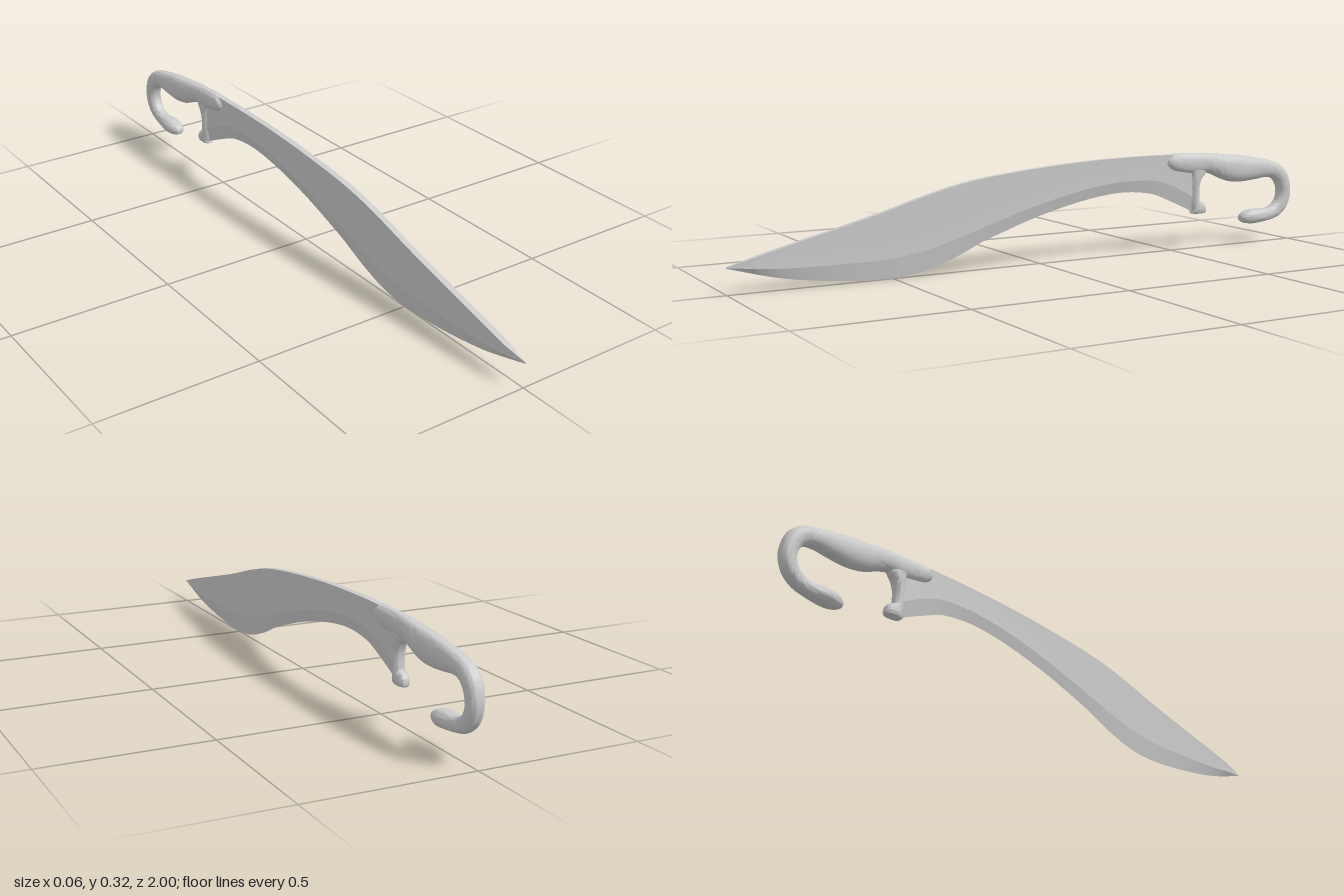
import * as THREE from 'three';
import { toCreasedNormals } from 'three/addons/utils/BufferGeometryUtils.js';

const material = new THREE.MeshStandardMaterial({ color: 0xcccccc });

// Smoothly resample rows of four numbers
function resample(rows, n) {
  const a = new THREE.CatmullRomCurve3(rows.map(r => new THREE.Vector3(r[0], r[1], 0)), false, 'centripetal');
  const b = new THREE.CatmullRomCurve3(rows.map((r, i) => new THREE.Vector3(r[2], r[3], i * 0.05)), false, 'centripetal');
  return Array.from({ length: n + 1 }, (_, i) => {
    const p = a.getPoint(i / n), q = b.getPoint(i / n), t = a.getTangent(i / n);
    return { z: p.x, y: p.y, h: q.x, w: q.y, tz: t.x, ty: t.y };
  });
}

// Join closed rings of points into a capped skin
function loft(name, rings, crease) {
  const m = rings[0].length, pos = [], idx = [];
  rings.forEach(r => r.forEach(p => pos.push(...p)));
  for (let i = 0; i < rings.length - 1; i++) {
    for (let j = 0; j < m; j++) {
      const k = (j + 1) % m;
      const a = i * m + j, b = i * m + k, c = b + m, d = a + m;
      idx.push(a, b, c, a, c, d);
    }
  }
  const last = (rings.length - 1) * m;
  for (let j = 1; j < m - 1; j++) {
    idx.push(0, j + 1, j, last, last + j, last + j + 1);
  }
  const geo = new THREE.BufferGeometry();
  geo.setAttribute('position', new THREE.Float32BufferAttribute(pos, 3));
  geo.setIndex(idx);
  const mesh = new THREE.Mesh(toCreasedNormals(geo, crease), material);
  mesh.name = name;
  return mesh;
}

// Rounded sections swept along a path in the side plane: rows of [z, y, half depth, half width]
function sweep(name, rows, n, power) {
  const sides = 24;
  const soft = v => Math.sign(v) * Math.abs(v) ** (2 / power);
  const rings = resample(rows, n).map(s => Array.from({ length: sides }, (_, j) => {
    const a = (j / sides) * Math.PI * 2;
    const u = soft(Math.cos(a)) * s.h, v = soft(Math.sin(a)) * s.w;
    return [v, s.y - s.tz * u, s.z + s.ty * u];
  }));
  return loft(name, rings, 0.9);
}

// Grip section from its top and bottom heights
const grip = (z, top, bottom, w) => [z, (top + bottom) / 2, (top - bottom) / 2, w];

export function createModel() {
  const group = new THREE.Group();
  group.name = 'curvedSword';

  // Blade: [z, spine height, bevel height, edge height], tip to guard
  const blade = [
    [1.0, 0.08, 0.078, 0.076], [0.84, 0.122, 0.063, 0.034], [0.68, 0.162, 0.06, 0.011],
    [0.52, 0.203, 0.061, 0.001], [0.41, 0.235, 0.075, 0.011], [0.3, 0.263, 0.102, 0.044],
    [0.2, 0.281, 0.133, 0.087], [0, 0.302, 0.19, 0.152], [-0.18, 0.314, 0.228, 0.192],
    [-0.31, 0.318, 0.241, 0.205], [-0.42, 0.319, 0.238, 0.194], [-0.5, 0.318, 0.215, 0.163],
    [-0.6, 0.314, 0.165, 0.118],
  ];
  const bladeRings = resample(blade, 96).map(s => {
    const w = 0.01 * Math.min(1, (1.002 - s.z) / 0.08);
    const crease = s.y + (s.h - s.y) * 0.28;
    return [
      [-w, s.y, s.z], [w, s.y, s.z], [w * 0.93, crease, s.z], [w, s.h, s.z],
      [0, s.w, s.z], [-w, s.h, s.z], [-w * 0.93, crease, s.z],
    ];
  });
  group.add(loft('blade', bladeRings, 0.12));

  // Grip curling into the hooked pommel
  group.add(sweep('gripAndHook', [
    grip(-0.483, 0.316, 0.292, 0.014), grip(-0.49, 0.321, 0.278, 0.021),
    grip(-0.51, 0.322, 0.264, 0.023), grip(-0.55, 0.321, 0.256, 0.023),
    grip(-0.6, 0.319, 0.25, 0.023), grip(-0.64, 0.317, 0.252, 0.025),
    grip(-0.68, 0.313, 0.24, 0.028), grip(-0.73, 0.308, 0.22, 0.03),
    grip(-0.78, 0.303, 0.213, 0.03), grip(-0.84, 0.294, 0.217, 0.028),
    grip(-0.89, 0.284, 0.222, 0.026),
    [-0.93, 0.244, 0.028, 0.026], [-0.958, 0.222, 0.027, 0.026], [-0.972, 0.19, 0.025, 0.025],
    [-0.974, 0.16, 0.025, 0.024], [-0.962, 0.127, 0.025, 0.023], [-0.935, 0.104, 0.024, 0.022],
    [-0.9, 0.094, 0.022, 0.024], [-0.865, 0.092, 0.024, 0.029], [-0.83, 0.09, 0.024, 0.03],
    [-0.803, 0.088, 0.018, 0.022], [-0.79, 0.087, 0.01, 0.012], [-0.786, 0.087, 0.002, 0.002],
  ], 110, 2.3));

  // Finger guard with its small rear-facing foot
  group.add(sweep('fingerGuard', [
    [-0.6, 0.29, 0.04, 0.018], [-0.602, 0.262, 0.036, 0.02], [-0.598, 0.24, 0.022, 0.02],
    [-0.594, 0.21, 0.015, 0.019], [-0.594, 0.175, 0.015, 0.018], [-0.597, 0.15, 0.018, 0.018],
    [-0.606, 0.136, 0.029, 0.019], [-0.609, 0.126, 0.031, 0.019], [-0.609, 0.118, 0.027, 0.015],
    [-0.609, 0.116, 0.015, 0.008],
  ], 44, 2.6));

  return group;
}
